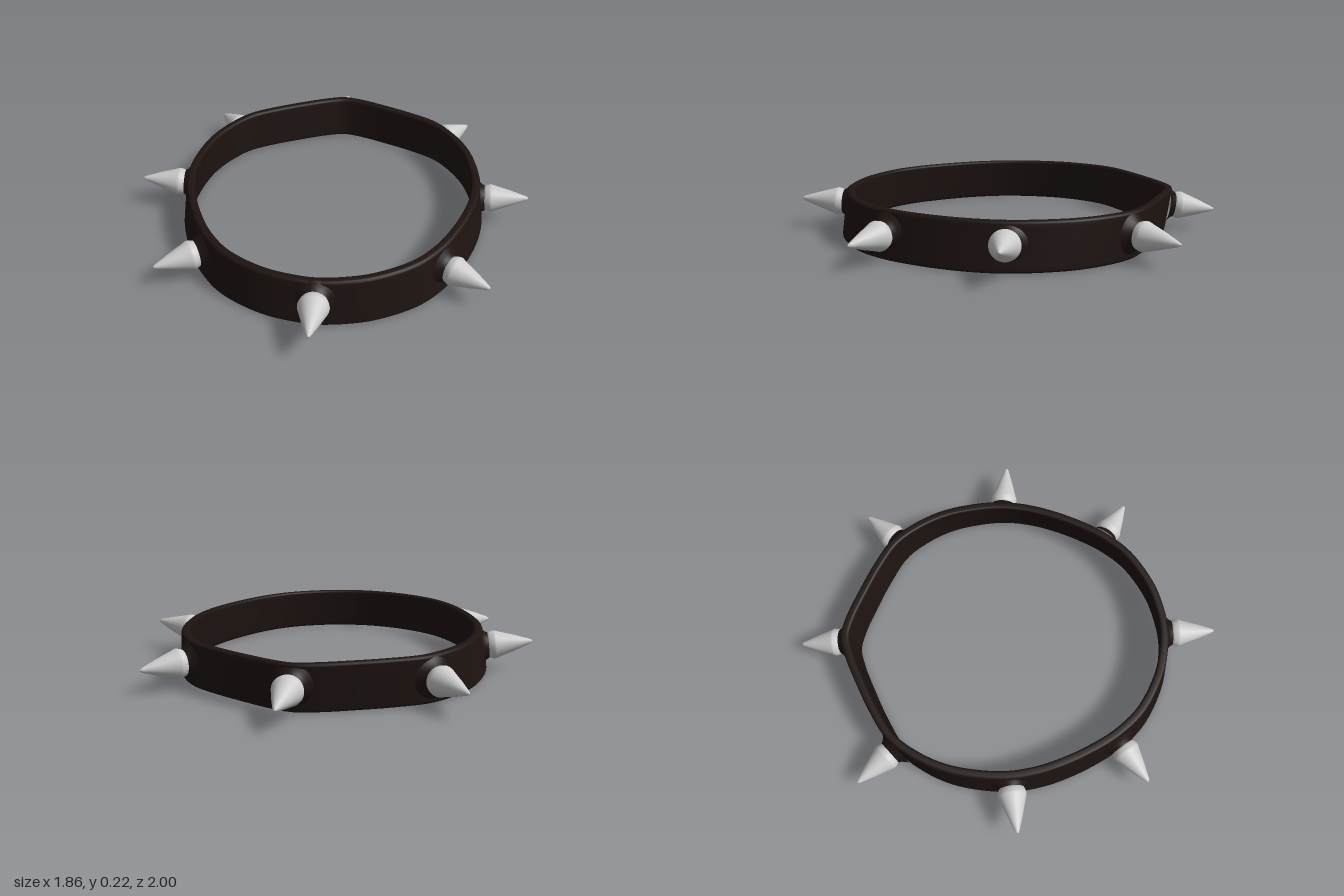
import * as THREE from 'three';

const leather = new THREE.MeshStandardMaterial({ color: 0x1e1411 });
const metal = new THREE.MeshStandardMaterial({ color: 0xcccccc });

const HEIGHT = 0.21, THICK = 0.04, STEPS = 128;

// Outer outline of the band on its left half, from back to front (x, z)
const half = [
  [0, -0.778], [0.1, -0.755], [0.24, -0.697], [0.38, -0.63], [0.51, -0.55], [0.6, -0.44],
  [0.67, -0.3], [0.705, -0.15], [0.715, 0], [0.695, 0.14], [0.65, 0.28], [0.59, 0.41],
  [0.53, 0.51], [0.42, 0.632], [0.24, 0.735], [0.1, 0.772], [0, 0.782],
];

// Closed strap: a rounded section swept around the outline, leaning slightly
function createBand() {
  const mirrored = half.slice(1, -1).reverse().map(([x, z]) => [-x, z]);
  const path = new THREE.CatmullRomCurve3(
    [...half, ...mirrored].map(([x, z]) => new THREE.Vector3(x, 0, z)), true);

  // Section as (inward offset, height), outer bottom to inner bottom
  const r = 0.012, section = [];
  const corner = (cx, cy, start) => {
    for (let k = 0; k <= 3; k++) {
      const a = start - k * Math.PI / 6;
      section.push([cx - r * Math.cos(a), cy + r * Math.sin(a)]);
    }
  };
  section.push([0, 0.03], [0, HEIGHT - 0.03]);
  const arc = (cx, cy, start) => {
    for (let k = 0; k <= 3; k++) {
      const a = start + k * Math.PI / 6;
      section.push([cx - r * Math.cos(a), cy + r * Math.sin(a)]);
    }
  };
  arc(r, HEIGHT - r, 0);
  arc(THICK - r, HEIGHT - r, Math.PI / 2);
  section.push([THICK, HEIGHT - 0.03], [THICK, 0.03]);
  arc(THICK - r, r, Math.PI);
  arc(r, r, Math.PI * 1.5);

  const up = new THREE.Vector3(0, 1, 0), positions = [], index = [], n = section.length;
  for (let i = 0; i < STEPS; i++) {
    const p = path.getPointAt(i / STEPS);
    const out = up.clone().cross(path.getTangentAt(i / STEPS)).normalize();
    for (let j = 0; j < n; j++) {
      const [d, y] = section[j];
      const lean = 0.5 - y / HEIGHT;
      positions.push((p.x - out.x * d) * (1 + 0.04 * lean), y, p.z - out.z * d + 0.03 * lean);
      const a = i * n + j, c = i * n + (j + 1) % n;
      const b = ((i + 1) % STEPS) * n + j, e = ((i + 1) % STEPS) * n + (j + 1) % n;
      index.push(a, c, b, b, c, e);
    }
  }
  const geometry = new THREE.BufferGeometry();
  geometry.setAttribute('position', new THREE.Float32BufferAttribute(positions, 3));
  geometry.setIndex(index);
  geometry.computeVertexNormals();
  const band = new THREE.Mesh(geometry, leather);
  band.name = 'band';
  return band;
}

const lathe = (points) =>
  new THREE.LatheGeometry(points.map(([x, y]) => new THREE.Vector2(x, y)), 32);

// Stud with a rounded base, and the flared leather collar under it
const studGeometry = lathe([
  [0, -0.004], [0.05, -0.004], [0.058, 0], [0.062, 0.01], [0.066, 0.026], [0.065, 0.034],
  [0.06, 0.047], [0.037, 0.118], [0.012, 0.186], [0.006, 0.198], [0, 0.201],
]);
const collarGeometry = lathe([
  [0.09, -0.032], [0.075, -0.02], [0.065, -0.01], [0.06, 0], [0.056, 0.004], [0, 0.004],
]);

function createSpike(name, base, tip) {
  const from = new THREE.Vector3(...base), axis = new THREE.Vector3(...tip).sub(from);
  const spike = new THREE.Group();
  spike.name = name;
  const stud = new THREE.Mesh(studGeometry, metal);
  stud.name = 'stud';
  stud.scale.y = axis.length() / 0.201;
  const collar = new THREE.Mesh(collarGeometry, leather);
  collar.name = 'collar';
  spike.add(stud, collar);
  spike.position.copy(from);
  spike.quaternion.setFromUnitVectors(new THREE.Vector3(0, 1, 0), axis.normalize());
  return spike;
}

export function createModel() {
  const model = new THREE.Group();
  model.name = 'spikedCollar';
  model.add(createBand());

  // Spikes on the centre line
  model.add(createSpike('frontSpike', [0, 0.128, 0.797], [0, 0.145, 1]));
  model.add(createSpike('backSpike', [0, 0.117, -0.803], [0, 0.094, -1]));

  // Mirrored pairs
  for (const [side, s] of [['left', 1], ['right', -1]]) {
    model.add(createSpike(side + 'Spike', [s * 0.73, 0.124, 0], [s * 0.93, 0.15, 0.022]));
    model.add(createSpike(side + 'FrontSpike', [s * 0.55, 0.112, 0.518], [s * 0.713, 0.11, 0.627]));
    model.add(createSpike(side + 'BackSpike', [s * 0.55, 0.113, -0.553], [s * 0.683, 0.11, -0.7]));
  }
  return model;
}
